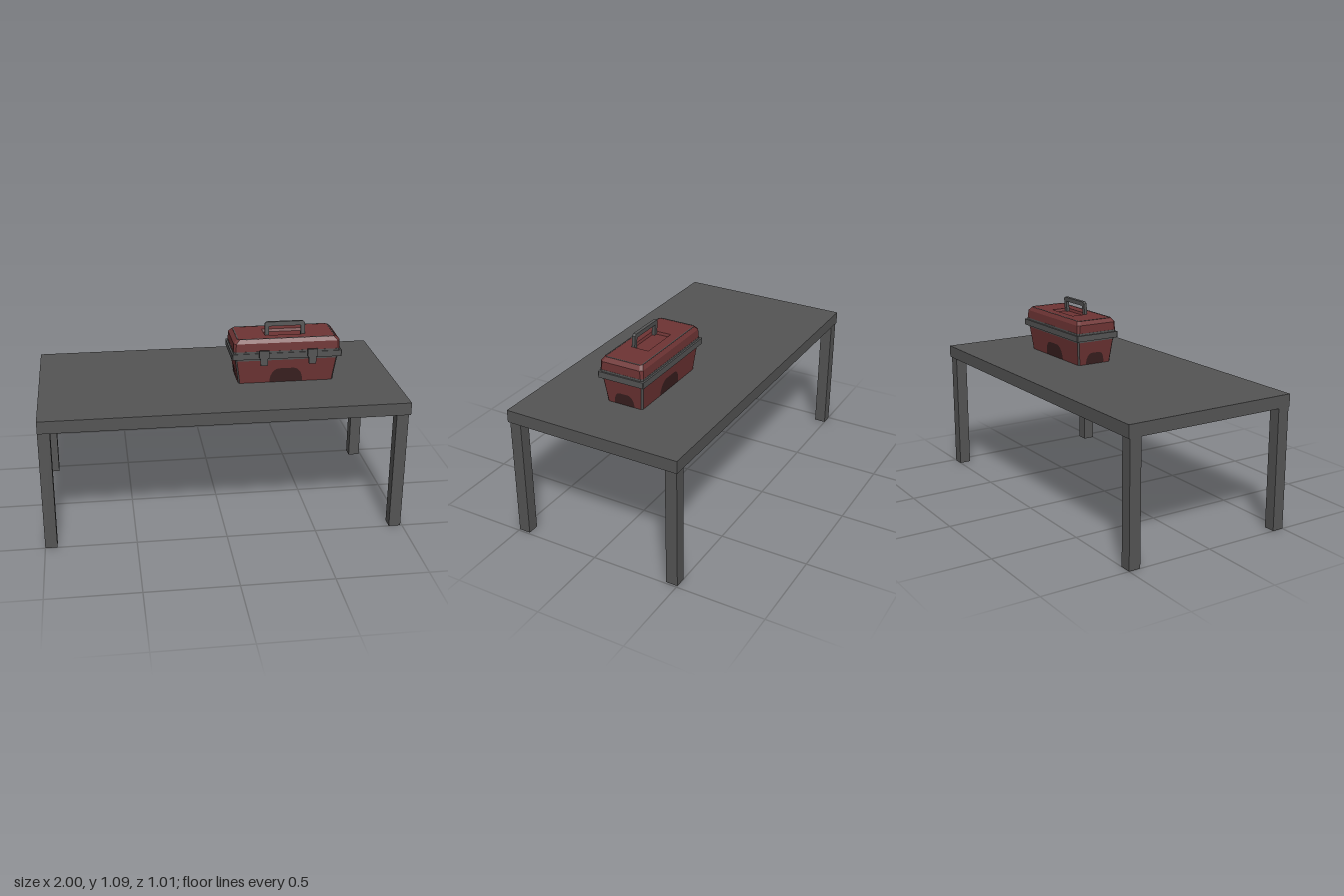
import * as THREE from 'three';

const mat = (name, color, extra = {}) => {
  const m = new THREE.MeshStandardMaterial({ color, ...extra });
  m.name = name;
  return m;
};

// Ring with cut corners: [y, halfX, halfZ, corner]
function ringPoints([y, hx, hz, c]) {
  return [
    [hx - c, hz], [hx, hz - c], [hx, -hz + c], [hx - c, -hz],
    [-hx + c, -hz], [-hx, -hz + c], [-hx, hz - c], [-hx + c, hz],
  ].map(([x, z]) => [x, y, z]);
}

// Faceted shell through the rings; group 0 = flat sides, group 1 = corner facets
function loft(rings, capTop = true, capBottom = true) {
  const pts = rings.map(ringPoints), sides = [], corners = [];
  for (let r = 0; r < pts.length - 1; r++) {
    for (let i = 0; i < 8; i++) {
      const j = (i + 1) % 8;
      const a = pts[r][i], b = pts[r][j], c = pts[r + 1][j], d = pts[r + 1][i];
      (i % 2 ? sides : corners).push(...a, ...b, ...c, ...a, ...c, ...d);
    }
  }
  // even edges are corners except the long front and back ones, handled by index order
  const top = pts[pts.length - 1], bottom = pts[0];
  for (let i = 1; i < 7; i++) {
    if (capTop) sides.push(...top[0], ...top[i], ...top[i + 1]);
    if (capBottom) sides.push(...bottom[0], ...bottom[i + 1], ...bottom[i]);
  }
  const g = new THREE.BufferGeometry();
  g.setAttribute('position', new THREE.Float32BufferAttribute([...sides, ...corners], 3));
  g.addGroup(0, sides.length / 3, 0);
  g.addGroup(sides.length / 3, corners.length / 3, 1);
  g.computeVertexNormals();
  return g;
}

export function createModel() {
  const grey = mat('dark grey metal', 0x545454);
  const red = mat('red paint', 0x6e3434);
  const dark = mat('dark worn paint', 0x3a2020);

  const model = new THREE.Group();
  model.name = 'tableWithToolbox';
  const add = (parent, name, geometry, material, x = 0, y = 0, z = 0) => {
    const m = new THREE.Mesh(geometry, material);
    m.name = name;
    m.position.set(x, y, z);
    parent.add(m);
    return m;
  };

  // Table
  const table = new THREE.Group();
  table.name = 'table';
  model.add(table);
  add(table, 'tableTop', new THREE.BoxGeometry(2, 0.07, 1.014), grey, 0, 0.72, 0);
  for (const x of [-0.967, 0.957])
    for (const z of [-0.467, 0.467])
      add(table, 'tableLeg', new THREE.BoxGeometry(0.066, 0.685, 0.066), grey, x, 0.3425, z);

  // Toolbox
  const box = new THREE.Group();
  box.name = 'toolbox';
  box.position.set(0.384, 0.755, 0.004);
  model.add(box);

  // Tapered body with worn corners
  add(box, 'body', loft([[0, 0.27, 0.107, 0.008], [0.137, 0.289, 0.122, 0.008]]), [red, grey]);
  add(box, 'bodyTopEdge', loft([[0.137, 0.29, 0.123, 0.008], [0.15, 0.291, 0.124, 0.008]]), [grey, grey]);

  // Projecting rim where lid and body meet
  add(box, 'rim', loft([
    [0.149, 0.311, 0.138, 0.004], [0.183, 0.311, 0.138, 0.004],
  ]), [grey, grey], 0, 0, -0.003);

  // Lid with bevelled top and a recess for the handle
  add(box, 'lidLowerEdge', loft([[0.183, 0.302, 0.131, 0.012], [0.194, 0.302, 0.131, 0.012]]), [grey, grey]);
  add(box, 'lid', loft([
    [0.194, 0.301, 0.13, 0.012], [0.24, 0.3, 0.127, 0.014], [0.261, 0.279, 0.114, 0.014],
    [0.261, 0.115, 0.053, 0], [0.246, 0.11, 0.048, 0],
  ]), [red, red]);

  // Worn strips along the upper lid edges
  for (const s of [-1, 1]) {
    add(box, 'lidEdgeStrip', new THREE.BoxGeometry(0.53, 0.003, 0.006), grey, 0, 0.261, s * 0.11);
    add(box, 'lidEndStrip', new THREE.BoxGeometry(0.006, 0.003, 0.2), grey, s * 0.275, 0.261, 0);
  }

  // Dark arched patches on all four walls
  const patch = (w, h) => {
    const s = new THREE.Shape();
    s.moveTo(-w, 0);
    s.lineTo(w, 0);
    s.bezierCurveTo(w, h * 0.75, w * 0.65, h, w * 0.4, h);
    s.lineTo(-w * 0.4, h);
    s.bezierCurveTo(-w * 0.65, h, -w, h * 0.75, -w, 0);
    return new THREE.ShapeGeometry(s, 8);
  };
  for (let i = 0; i < 4; i++) {
    const end = i % 2 === 1;
    const a = i * Math.PI / 2, d = (end ? 0.27 : 0.107) + 0.0015;
    const p = add(box, 'wallPatch', patch(end ? 0.06 : 0.094, end ? 0.068 : 0.084), dark,
      Math.sin(a) * d, 0.001, Math.cos(a) * d);
    p.rotation.set(Math.atan((end ? 0.019 : 0.015) / 0.137), a, 0, 'YXZ');
  }

  // Front latches
  const latch = new THREE.Shape([
    [-0.02, 0], [0.02, 0], [0.021, 0.04], [0.028, 0.045], [0.028, 0.085], [-0.028, 0.085],
    [-0.028, 0.045], [-0.021, 0.04],
  ].map(([x, y]) => new THREE.Vector2(x, y)));
  for (const x of [-0.134, 0.139]) {
    add(box, 'latch', new THREE.ExtrudeGeometry(latch, { depth: 0.014, bevelEnabled: false }), grey, x, 0.121, 0.149);
    add(box, 'latchMount', new THREE.BoxGeometry(0.042, 0.03, 0.025), grey, x, 0.166, 0.14);
  }

  // Raised carrying handle, leaning slightly
  const bar = new THREE.Shape([
    [-0.114, 0], [-0.114, 0.079], [-0.103, 0.089], [0.103, 0.089], [0.114, 0.079], [0.114, 0],
    [0.091, 0], [0.091, 0.064], [-0.091, 0.064], [-0.091, 0],
  ].map(([x, y]) => new THREE.Vector2(x, y)));
  const handle = add(box, 'handle',
    new THREE.ExtrudeGeometry(bar, { depth: 0.018, bevelEnabled: false }), grey, 0, 0.245, 0.032);
  handle.rotation.x = -0.07;

  return model;
}
